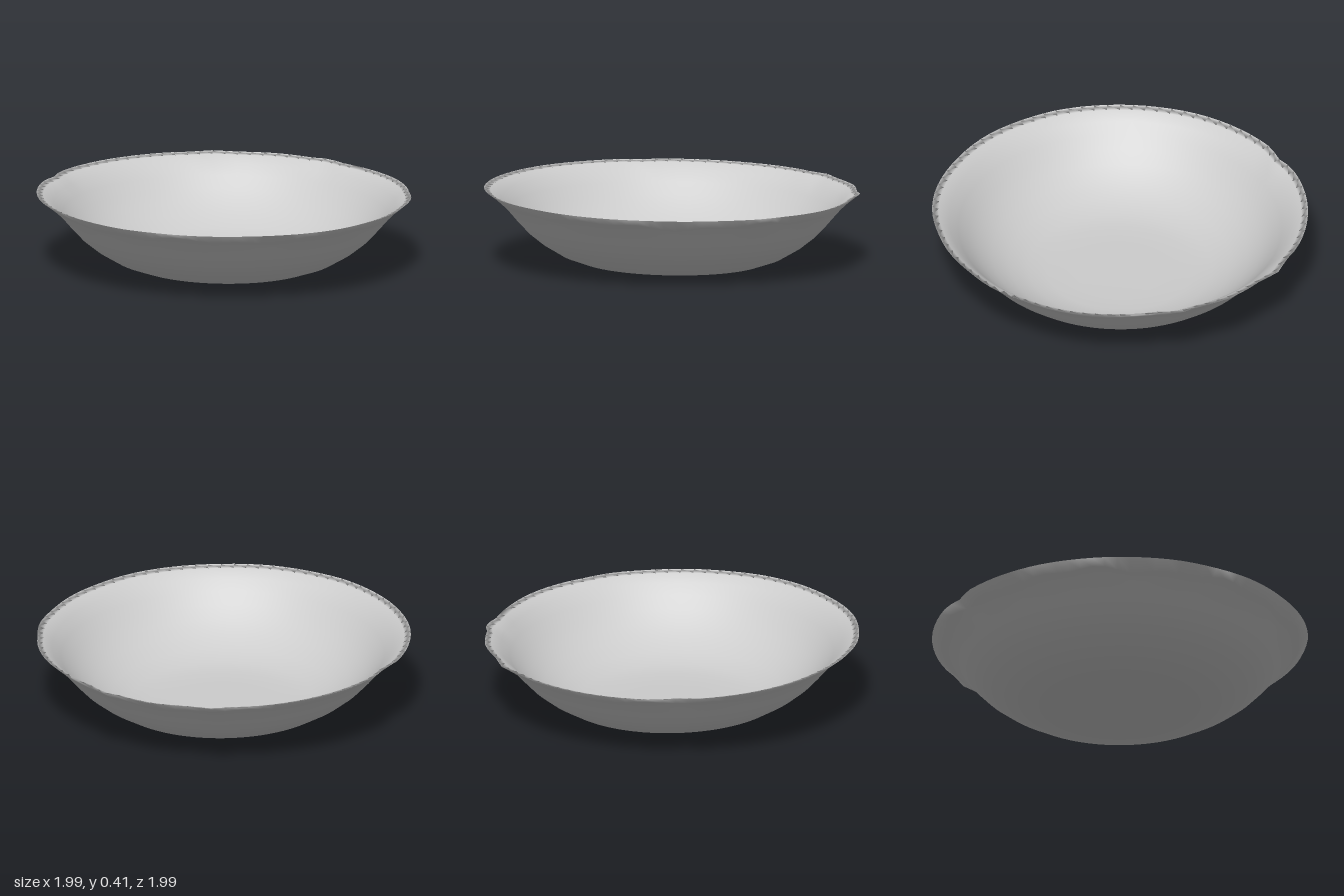
import * as THREE from 'three';
import { mergeVertices } from 'three/addons/utils/BufferGeometryUtils.js';

// Uneven rim: [angle in degrees from +x towards +z, radius]
const RIM = [
  [0, 0.99], [12, 1.0], [23, 1.0], [41, 0.993], [57, 1.0], [72, 0.996], [82, 1.0], [96, 0.995],
  [114, 0.995], [127, 1.0], [143, 1.0], [155, 1.0], [162, 0.978], [168, 1.0], [180, 1.0],
  [193, 1.0], [213, 1.0], [221, 0.99], [224, 1.022], [233, 0.99], [246, 1.0], [258, 0.985],
  [263, 1.005], [270, 0.975], [282, 0.98], [296, 0.99], [307, 0.99], [314, 0.985],
  [324, 0.995], [336, 0.985], [348, 0.99], [360, 0.99],
];

function rimRadius(deg) {
  const i = Math.max(1, RIM.findIndex(([a]) => a >= deg));
  const [a0, r0] = RIM[i - 1], [a1, r1] = RIM[i];
  return THREE.MathUtils.lerp(r0, r1, (deg - a0) / (a1 - a0));
}

export function createModel() {
  const group = new THREE.Group();
  group.name = 'bowl';

  // Closed wall section: outside from the base up, over the lip, inside back down
  const outside = [
    [0, 0.009], [0.25, 0.009], [0.4, 0.011], [0.5, 0.026], [0.6, 0.062], [0.7, 0.122],
    [0.77, 0.178], [0.83, 0.242], [0.89, 0.312], [0.94, 0.355],
  ];
  const inside = [
    [0.965, 0.39], [0.91, 0.352], [0.86, 0.298], [0.81, 0.24], [0.75, 0.182], [0.68, 0.129],
    [0.59, 0.078], [0.49, 0.045], [0.39, 0.031], [0.25, 0.028], [0, 0.028],
  ];
  const profile = [...outside, [1, 0.4], ...inside].map(([r, y]) => new THREE.Vector2(r, y));
  let geometry = new THREE.LatheGeometry(profile, 90);

  const p = geometry.attributes.position;
  const lipRing = outside.length - 1;
  for (let i = 0; i < p.count; i++) {
    const x = p.getX(i), z = p.getZ(i), r = Math.hypot(x, z);
    const angle = Math.atan2(z, x);
    const deg = (Math.round(THREE.MathUtils.radToDeg(angle) * 100) / 100 + 360) % 360;
    // Ragged rim, fading out down the wall
    let scale = 1 + (rimRadius(deg) - 1) * THREE.MathUtils.smoothstep(r, 0.88, 1);
    let y = p.getY(i);
    // Wavy lower edge of the lip, sliding along the wall
    if (i % profile.length === lipRing) {
      const slide = 0.012 * Math.sin(7 * angle) + 0.01 * Math.sin(17 * angle + 1);
      scale += slide;
      y += slide * 0.85;
    }
    // The bowl leans slightly to the back
    p.setXYZ(i, x * scale, y + 0.015 * z, z * scale);
  }

  // Weld the seam and smooth over the lip
  geometry.deleteAttribute('uv');
  geometry.deleteAttribute('normal');
  geometry = mergeVertices(geometry, 1e-4);
  geometry.computeVertexNormals();

  const bowl = new THREE.Mesh(geometry, new THREE.MeshStandardMaterial({ color: 0xcccccc }));
  bowl.name = 'bowlShell';
  group.add(bowl);
  return group;
}
